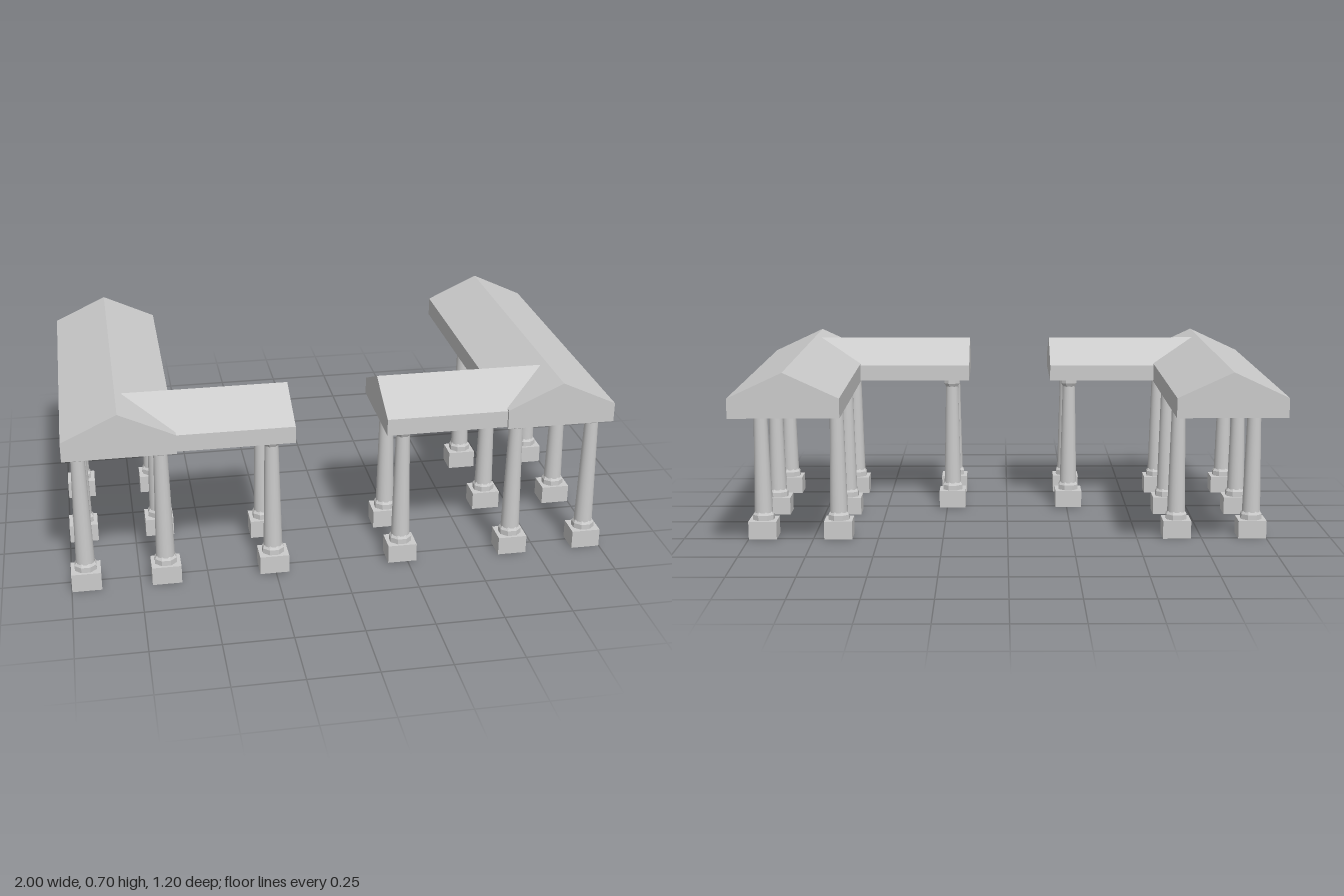
import * as THREE from 'three';

const stone = new THREE.MeshStandardMaterial({ color: 0xcccccc });
const facetedStone = new THREE.MeshStandardMaterial({ color: 0xcccccc, flatShading: true });

// Gabled roof: eave slab and pitched top as one extrusion along +z from 0
function makeRoof(name, width, length, bottom, eave, ridge) {
  const h = width / 2;
  const section = new THREE.Shape([
    new THREE.Vector2(-h, bottom), new THREE.Vector2(h, bottom), new THREE.Vector2(h, eave),
    new THREE.Vector2(0, ridge), new THREE.Vector2(-h, eave),
  ]);
  const mesh = new THREE.Mesh(
    new THREE.ExtrudeGeometry(section, { depth: length, bevelEnabled: false }), facetedStone);
  mesh.name = name;
  return mesh;
}

// Square plinth, eight-sided base ring, round tapering shaft, flared capital
function makeColumn(x, z, lift = 0) {
  const column = new THREE.Group();
  column.name = 'column';
  const plinth = new THREE.Mesh(new THREE.BoxGeometry(0.108, 0.07, 0.093), facetedStone);
  plinth.name = 'plinth';
  plinth.position.y = 0.035 + lift;
  column.add(plinth);

  const addTurned = (name, rTop, rBottom, y0, y1, sides, material) => {
    const geometry = new THREE.CylinderGeometry(rTop, rBottom, y1 - y0, sides);
    geometry.rotateY(Math.PI / sides);
    const mesh = new THREE.Mesh(geometry, material);
    mesh.name = name;
    mesh.position.y = (y0 + y1) / 2;
    mesh.scale.x = 1.1;
    column.add(mesh);
  };
  const top = 0.07 + lift;
  addTurned('baseRing', 0.039, 0.039, top, 0.09 + lift, 8, facetedStone);
  addTurned('baseTaper', 0.031, 0.039, 0.09 + lift, 0.103 + lift, 8, facetedStone);
  addTurned('shaft', 0.023, 0.032, 0.09, 0.525, 16, stone);
  addTurned('capitalFlare', 0.031, 0.024, 0.512, 0.526, 8, facetedStone);
  addTurned('capital', 0.031, 0.031, 0.526, 0.545, 8, facetedStone);
  column.position.set(x, 0, z);
  return column;
}

// One L-shaped colonnade; side is +1 (left) or -1 (right)
function makeColonnade(side, innerEnd, innerColumnX) {
  const wing = new THREE.Group();
  wing.name = side > 0 ? 'leftColonnade' : 'rightColonnade';

  const longRoof = makeRoof('longRoof', 0.4, 1.2, 0.54, 0.612, 0.705);
  longRoof.position.set(side * 0.8, 0, -0.6);
  wing.add(longRoof);

  // Short roof runs into the slope of the long one
  const shortRoof = makeRoof('shortRoof', 0.39, 0.79 - innerEnd, 0.543, 0.606, 0.695);
  shortRoof.rotation.y = side * Math.PI / 2;
  shortRoof.position.set(side * innerEnd, 0, 0.394);
  wing.add(shortRoof);

  for (const z of [0.525, 0.157, -0.215]) {
    for (const x of [0.945, 0.654]) wing.add(makeColumn(side * x, z));
  }
  for (const z of [0.525, 0.25]) wing.add(makeColumn(side * innerColumnX, z, 0.006));
  return wing;
}

export function createModel() {
  const model = new THREE.Group();
  model.name = 'colonnades';
  model.add(makeColonnade(1, 0.155, 0.227), makeColonnade(-1, 0.177, 0.256));
  return model;
}
